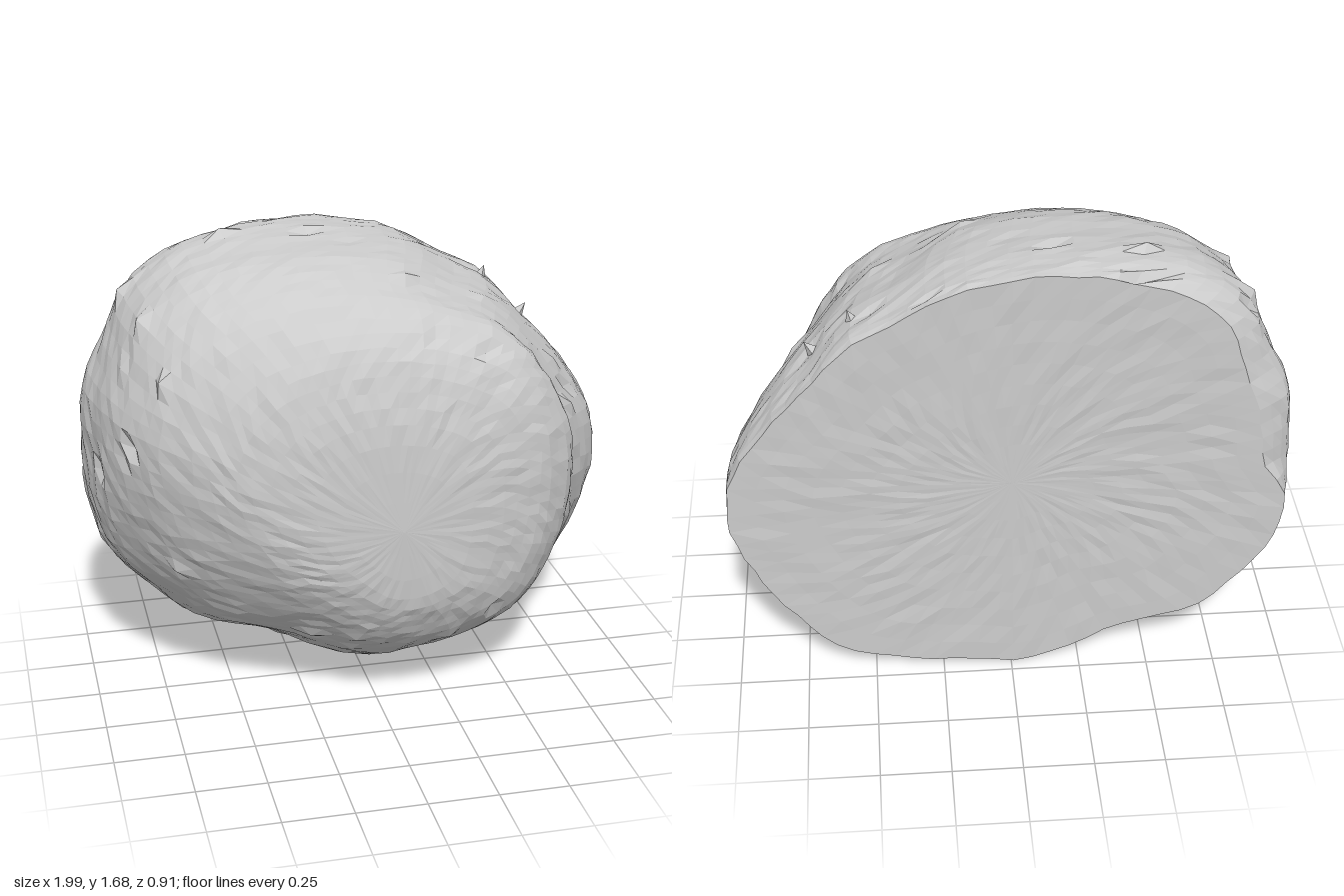
import * as THREE from 'three';

const COLS = 84;

// Evenly spaced points round a smooth closed outline
function ring(pts) {
  const curve = new THREE.CatmullRomCurve3(
    pts.map(([x, y]) => new THREE.Vector3(x, y, 0)), true, 'centripetal');
  return Array.from({ length: COLS }, (_, i) => curve.getPointAt(i / COLS));
}

// Widest outline near the back, clockwise from the top
const wideRing = ring([
  [0, 1.665], [0.2, 1.62], [0.4, 1.51], [0.55, 1.43], [0.7, 1.27], [0.85, 1.1], [0.97, 0.92],
  [1, 0.8], [0.99, 0.65], [0.9, 0.45], [0.75, 0.23], [0.6, 0.1], [0.35, 0.04], [0.1, 0.02],
  [0, 0], [-0.2, 0.06], [-0.4, 0.16], [-0.66, 0.22], [-0.8, 0.34], [-0.93, 0.5], [-0.98, 0.65],
  [-1, 0.8], [-0.98, 1.1], [-0.9, 1.3], [-0.84, 1.46], [-0.7, 1.58], [-0.5, 1.65], [-0.2, 1.68],
].map(([x, y]) => [x, (y - 0.84) / 0.84]));

// Rim of the flat back, bevelled at the upper right
const rimRing = wideRing.map((p) => {
  const bevel = THREE.MathUtils.smoothstep(p.y, -0.2, 0.1) * THREE.MathUtils.smoothstep(-p.x, 0, 0.6);
  return new THREE.Vector3(p.x * (1 - 0.12 * bevel), p.y * (1 - 0.03 * bevel), 0);
});

// Outline of the front bulge, cut away at the lower right
const frontRing = ring([
  [0, 1], [0.45, 0.93], [0.8, 0.75], [0.97, 0.4], [1, 0], [0.97, -0.4], [0.8, -0.8], [0.4, -1],
  [0, -1], [-0.35, -0.78], [-0.7, -0.47], [-0.93, -0.08], [-1, 0.25], [-0.94, 0.55],
  [-0.73, 0.82], [-0.4, 0.96],
]);

// Sections: z, centre x, centre y, half width, half height, outline (0 rim, 1 wide, 2 front)
const DOME = [
  [-0.455, 0, 0.84, 0.99, 0.835, 0],
  [-0.38, 0, 0.84, 0.998, 0.84, 0.8],
  [-0.28, 0, 0.84, 0.99, 0.838, 1],
  [-0.15, -0.01, 0.84, 0.96, 0.82, 1.1],
  [0, -0.04, 0.855, 0.89, 0.785, 1.25],
  [0.13, -0.05, 0.86, 0.81, 0.73, 1.45],
  [0.24, -0.02, 0.865, 0.75, 0.665, 1.65],
  [0.35, 0, 0.855, 0.61, 0.55, 1.9],
  [0.405, 0, 0.83, 0.47, 0.43, 2],
  [0.44, 0.02, 0.79, 0.28, 0.29, 2],
  [0.455, 0.05, 0.76, 0, 0, 2],
];
const BACK = [[-0.455, 0, 0.84, 0, 0, 0], DOME[0]];

// Repeatable value in -1..1 for a grid cell
function hash(a, b) {
  let h = Math.imul(a + 17, 374761393) ^ Math.imul(b + 29, 668265263);
  h = Math.imul(h ^ (h >>> 13), 1274126177);
  return ((h ^ (h >>> 16)) >>> 0) / 2147483648 - 1;
}

function outline(i, mix) {
  return mix < 1
    ? rimRing[i].clone().lerp(wideRing[i], Math.max(0, mix))
    : wideRing[i].clone().lerp(frontRing[i], Math.min(1, mix - 1));
}

const stone = new THREE.MeshStandardMaterial({ color: 0xcccccc, flatShading: true });

// Skin the sections, with broad lumps and scattered chips for the stony surface
function skin(name, sections, steps, rimRow) {
  const pos = [], index = [];
  const rows = (sections.length - 1) * steps;
  const spline = new THREE.CubicInterpolant(sections.map((_, k) => k * steps), sections.flat(), 6, []);
  for (let j = 0; j <= rows; j++) {
    const [z, cx, cy, hx, hy, mix] = spline.evaluate(j);
    const rough = THREE.MathUtils.smoothstep(hx, 0, 0.5);
    for (let i = 0; i < COLS; i++) {
      const o = outline(i, mix);
      const x = cx + o.x * hx, y = cy + o.y * hy;
      let s = 1, dz = 0;
      if (j === rimRow) {
        s += 0.006 * hash(i, 1);
      } else if (sections === BACK) {
        dz = 0.003 * rough * hash(i, j);
      } else {
        s += 0.008 * Math.sin(x * 7 + z * 5) * Math.sin(y * 8 - z * 6);
        s += rough * 0.005 * hash(i, j);
        if (hash(i + 50, j + 9) > 0.93 && z < 0.38) s += 0.03 * hash(i, j + 77);
        dz = rough * 0.004 * hash(j + 3, i + 5);
      }
      pos.push(cx + (x - cx) * s, Math.max(0, cy + (y - cy) * s), z + dz);
    }
  }
  for (let j = 0; j < rows; j++) {
    for (let i = 0; i < COLS; i++) {
      const n = (i + 1) % COLS;
      const a = j * COLS + i, b = j * COLS + n, c = a + COLS, d = b + COLS;
      index.push(a, c, b, b, c, d);
    }
  }
  const geo = new THREE.BufferGeometry();
  geo.setAttribute('position', new THREE.Float32BufferAttribute(pos, 3));
  geo.setIndex(index);
  geo.computeVertexNormals();
  const mesh = new THREE.Mesh(geo, stone);
  mesh.name = name;
  return mesh;
}

// Angular splinter sitting on the surface and pointing along dir
function shard(at, dir, radius, height) {
  const mesh = new THREE.Mesh(new THREE.ConeGeometry(radius, height, 4), stone);
  mesh.position.set(...at);
  mesh.quaternion.setFromUnitVectors(new THREE.Vector3(0, 1, 0), new THREE.Vector3(...dir).normalize());
  mesh.name = 'shard';
  return mesh;
}

export function createModel() {
  const group = new THREE.Group();
  group.name = 'halfBoulder';
  group.add(skin('roundedFront', DOME, 3, 0));
  group.add(skin('flatBack', BACK, 10, 10));

  // Splinters along the upper and lower left side
  const shards = new THREE.Group();
  shards.name = 'shards';
  shards.add(
    shard([0.5, 1.36, -0.3], [0.35, 1, 0], 0.13, 0.25),
    shard([0.62, 1.24, -0.26], [0.6, 0.75, 0], 0.12, 0.24),
    shard([0.23, 1.42, 0.17], [0.1, 0.6, 0.6], 0.08, 0.14),
    shard([0.56, 1.08, 0.29], [0.7, 0.2, 0.6], 0.08, 0.12),
    shard([0.7, 0.82, 0.17], [0.8, -0.1, 0.5], 0.1, 0.12),
    shard([0.85, 0.6, -0.2], [1, -0.2, 0.2], 0.1, 0.12),
  );
  group.add(shards);
  return group;
}
